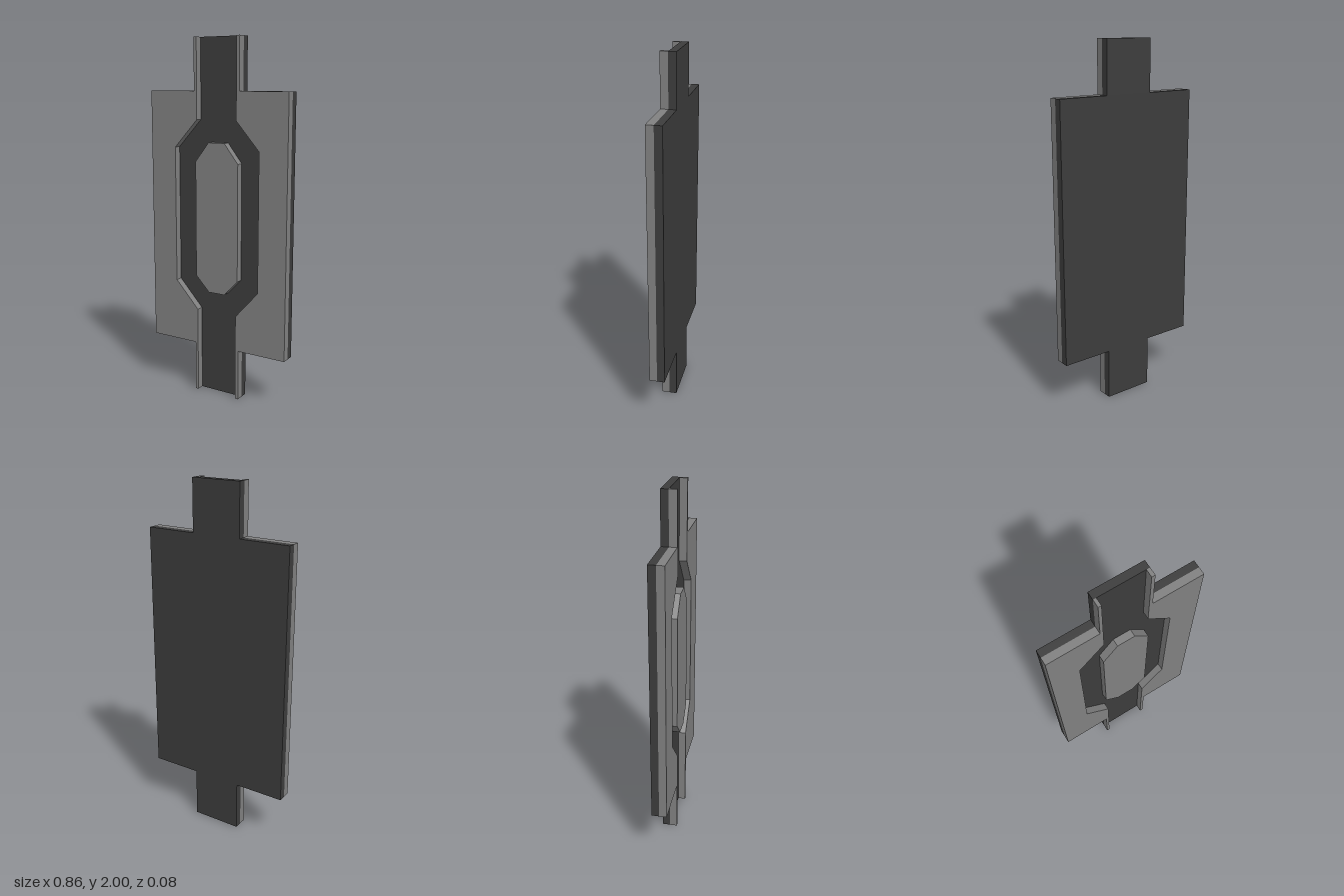
import * as THREE from 'three';

const DEPTH = 0.042;
const dark = new THREE.MeshStandardMaterial({ color: 0x3c3c3c });
const light = new THREE.MeshStandardMaterial({ color: 0x808080 });

// Extrude a flat outline from z to z + DEPTH
function slab(name, points, z, material) {
  const shape = new THREE.Shape(points.map(([x, y]) => new THREE.Vector2(x, y)));
  const geometry = new THREE.ExtrudeGeometry(shape, { depth: DEPTH, bevelEnabled: false });
  geometry.translate(0, 0, z);
  const mesh = new THREE.Mesh(geometry, material);
  mesh.name = name;
  return mesh;
}

export function createModel() {
  const group = new THREE.Group();
  group.name = 'channelPlate';

  // Outer edge shared by both layers, bottom to top on the +x side
  const edge = [[0.142, 0], [0.142, 0.287], [0.428, 0.287], [0.428, 1.717], [0.142, 1.717], [0.142, 2]];
  const mirror = (points) => points.map(([x, y]) => [-x, y]);

  // Solid backing plate with a tab at each end
  group.add(slab('backPlate', [...edge, ...mirror(edge).reverse()], -DEPTH, dark));

  // Raised side panels; the gap between them is the forked channel
  const panel = (sign, neck, wide) => [
    ...edge, [neck, 2], [neck, 1.563], [wide, 1.408], [wide, 0.642], [neck, 0.487], [neck, 0],
  ].map(([x, y]) => [sign * x, y]);
  group.add(slab('leftPanel', panel(1, 0.123, 0.261), 0, light));
  group.add(slab('rightPanel', panel(-1, 0.125, 0.269), 0, light));

  // Raised eight-sided island in the middle of the channel
  const side = [[0.05, 0.601], [0.134, 0.688], [0.134, 1.335], [0.05, 1.442]];
  group.add(slab('island', [...side, ...mirror(side).reverse()], 0, light));

  return group;
}
